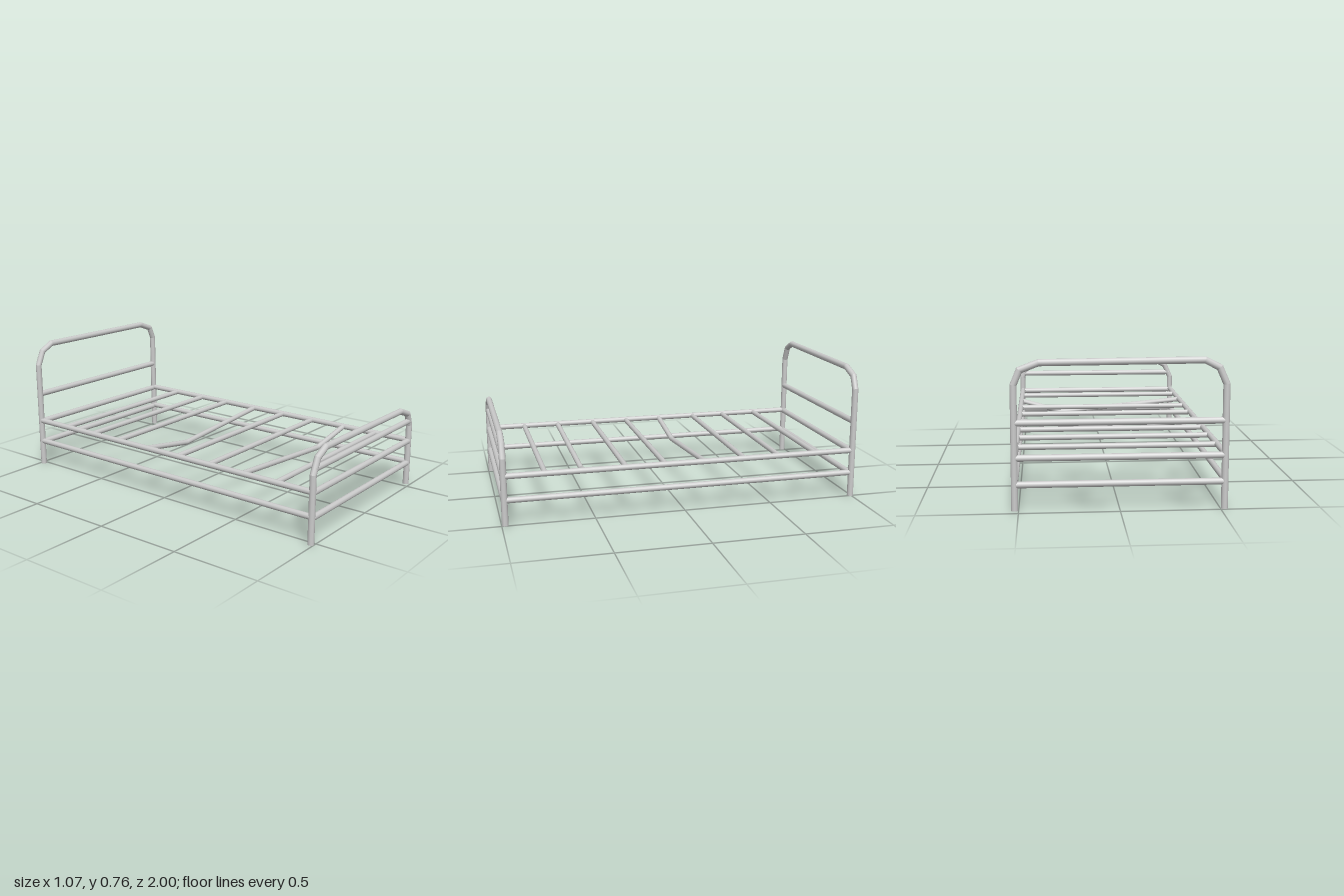
import * as THREE from 'three';

const material = new THREE.MeshStandardMaterial({ color: 0xcccccc });

// Capped round pipe along a planar path, with sharp mitred bends
function pipeGeometry(path, radius, sides = 10) {
  const pts = path.map((p) => new THREE.Vector3(...p));
  const dirs = pts.slice(1).map((p, i) => p.clone().sub(pts[i]).normalize());
  const u = new THREE.Vector3();
  if (dirs.length > 1) u.crossVectors(dirs[0], dirs[1]);
  else u.crossVectors(dirs[0], Math.abs(dirs[0].y) > 0.9 ? new THREE.Vector3(1, 0, 0) : new THREE.Vector3(0, 1, 0));
  u.normalize();

  const pos = [], nor = [], idx = [];
  const push = (p, n) => { pos.push(p.x, p.y, p.z); nor.push(n.x, n.y, n.z); return pos.length / 3 - 1; };

  dirs.forEach((d, s) => {
    const v = new THREE.Vector3().crossVectors(d, u);
    const around = (i) => {
      const a = (i / sides) * Math.PI * 2;
      return u.clone().multiplyScalar(Math.cos(a)).addScaledVector(v, Math.sin(a));
    };
    // Mitre plane normals at both ends of the segment
    const planes = [dirs[s - 1], dirs[s + 1]].map((o) => (o ? o.clone().add(d).normalize() : d));
    const ring = (i, end) => {
      const off = around(i).multiplyScalar(radius);
      const t = planes[end];
      return off.addScaledVector(d, -off.dot(t) / d.dot(t)).add(pts[s + end]);
    };
    const base = pos.length / 3;
    for (let i = 0; i <= sides; i++) {
      push(ring(i, 0), around(i));
      push(ring(i, 1), around(i));
    }
    for (let i = 0; i < sides; i++) {
      const a = base + i * 2;
      idx.push(a, a + 2, a + 1, a + 2, a + 3, a + 1);
    }
    // Flat caps on the free ends
    [0, 1].forEach((end) => {
      if (end === 0 ? s > 0 : s < dirs.length - 1) return;
      const n = d.clone().multiplyScalar(end ? 1 : -1);
      const c = push(pts[s + end], n);
      for (let i = 0; i <= sides; i++) push(ring(i, end), n);
      for (let i = 1; i <= sides; i++) {
        if (end) idx.push(c, c + i, c + i + 1);
        else idx.push(c, c + i + 1, c + i);
      }
    });
  });

  const g = new THREE.BufferGeometry();
  g.setAttribute('position', new THREE.Float32BufferAttribute(pos, 3));
  g.setAttribute('normal', new THREE.Float32BufferAttribute(nor, 3));
  g.setIndex(idx);
  return g;
}

function addPipe(parent, name, path, radius) {
  const mesh = new THREE.Mesh(pipeGeometry(path, radius), material);
  mesh.name = name;
  parent.add(mesh);
}

// Bent hoop with legs, plus its cross bars
function bedEnd(name, z, height, barHeights) {
  const group = new THREE.Group();
  group.name = name;
  const h = height;
  const hoop = [
    [-0.52, 0], [-0.518, h - 0.118], [-0.482, h - 0.037], [-0.41, h],
    [0.393, h - 0.006], [0.485, h - 0.041], [0.515, h - 0.112], [0.518, 0.01],
  ];
  addPipe(group, name + 'Hoop', hoop.map(([x, y]) => [x, y, z]), 0.0175);
  barHeights.forEach((y) => addPipe(group, name + 'Bar', [[-0.512, y, z], [0.51, y, z]], 0.017));
  return group;
}

export function createModel() {
  const bed = new THREE.Group();
  bed.name = 'bedFrame';

  bed.add(bedEnd('headboard', -0.983, 0.745, [0.447, 0.273, 0.14]));
  bed.add(bedEnd('footboard', 0.983, 0.483, [0.395, 0.273, 0.14]));

  // Upper and lower side rails
  [['rightRail', -0.52], ['leftRail', 0.515]].forEach(([name, x]) => {
    [0.278, 0.147].forEach((y) => addPipe(bed, name, [[x, y, -0.975], [x, y, 0.975]], 0.016));
  });

  // Slats; two of them sag to a kink
  const kinks = { 3: [-0.175, 0.223, -0.106], 6: [0.255, 0.208, 0.533] };
  [-0.762, -0.542, -0.338, -0.108, 0.112, 0.33, 0.555, 0.765].forEach((z, i) => {
    const path = [[-0.51, 0.276, z], [0.505, 0.276, z]];
    if (kinks[i]) path.splice(1, 0, kinks[i]);
    addPipe(bed, kinks[i] ? 'bentSlat' : 'slat', path, 0.015);
  });

  return bed;
}
